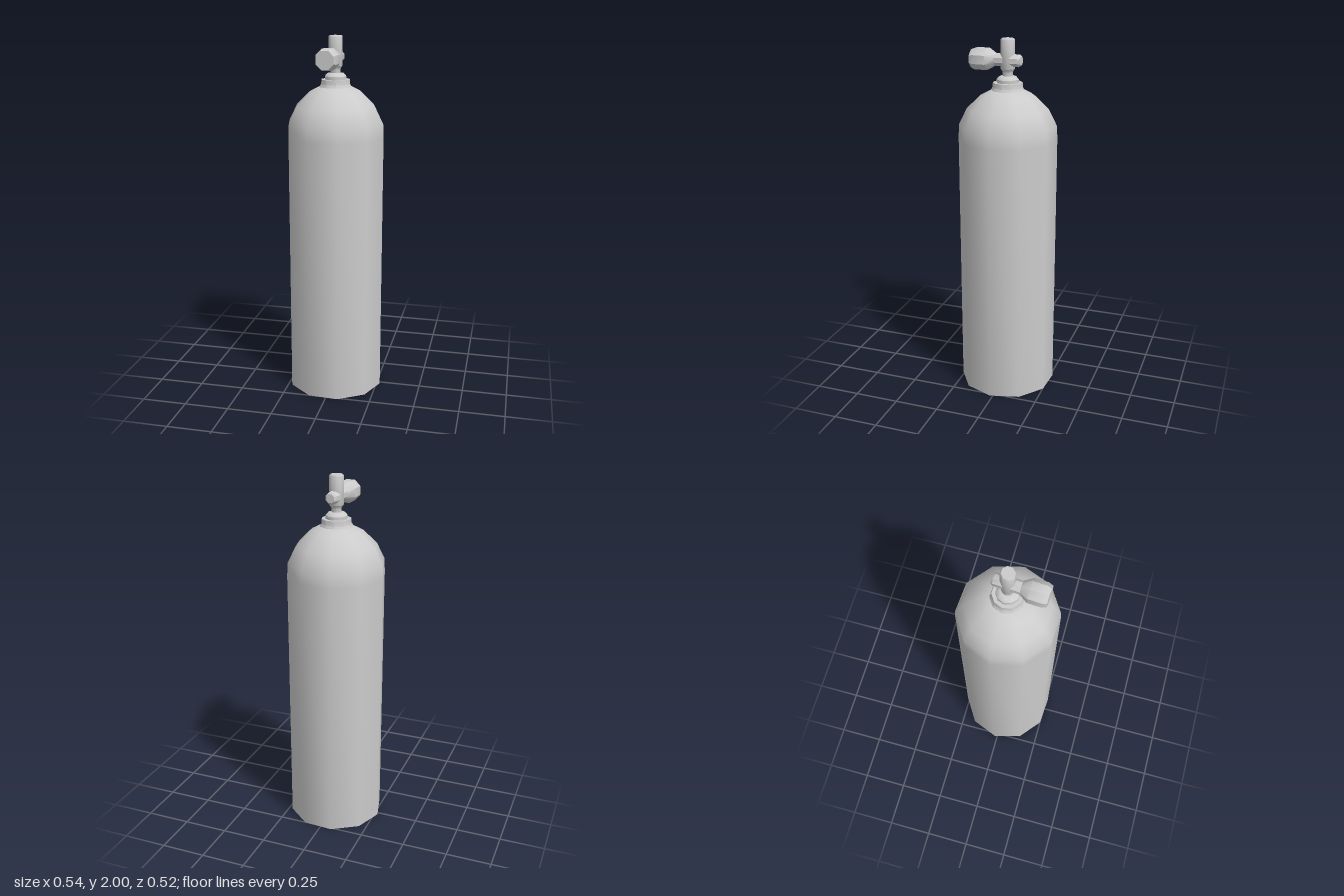
import * as THREE from 'three';
import { toCreasedNormals } from 'three/addons/utils/BufferGeometryUtils.js';

const material = new THREE.MeshStandardMaterial({ color: 0xcccccc });

// Low-poly turned part from [radius, height] pairs, listed bottom to top
function turned(name, profile, sides, start, crease = 0.85) {
  const points = profile.map(([r, y]) => new THREE.Vector2(r, y));
  const lathe = new THREE.LatheGeometry(points, sides, start);
  const mesh = new THREE.Mesh(toCreasedNormals(lathe, crease), material);
  mesh.name = name;
  return mesh;
}

export function createModel() {
  const model = new THREE.Group();
  model.name = 'gasCylinder';
  const twist = 0.251; // the ten-sided parts are turned slightly off axis

  // Tank with domed shoulder
  model.add(turned('tank', [
    [0, 0], [0.27, 0], [0.27, 1.46], [0.267, 1.535], [0.222, 1.625],
    [0.145, 1.70], [0.09, 1.728], [0, 1.735],
  ], 10, twist));

  // Collar on top of the shoulder
  model.add(turned('collar', [
    [0.092, 1.725], [0.082, 1.742], [0.08, 1.768], [0, 1.768],
  ], 10, twist, 0.7));

  // Rounded seat ring and thin neck under the valve
  model.add(turned('neck', [
    [0.06, 1.765], [0.06, 1.785], [0.046, 1.80], [0.028, 1.803],
    [0.028, 1.825], [0.038, 1.84],
  ], 10, twist, 0.7));

  // Valve: upright post crossed by an arm that carries the knob
  const valve = new THREE.Group();
  valve.name = 'valve';
  valve.position.y = 1.885;
  valve.rotation.y = -0.06;
  valve.add(turned('valvePost', [
    [0, -0.055], [0.03, -0.055], [0.038, -0.045], [0.038, 0.108], [0.033, 0.115], [0, 0.115],
  ], 8, Math.PI / 8));

  const arm = turned('valveArm', [
    [0, -0.078], [0.024, -0.078], [0.034, -0.066], [0.034, 0.075],
  ], 8, Math.PI / 8, 0.7);
  const knob = turned('valveKnob', [
    [0, 0.068], [0.034, 0.068], [0.061, 0.112], [0.061, 0.183], [0.052, 0.205], [0, 0.205],
  ], 8, Math.PI / 8, 0.7);
  for (const part of [arm, knob]) {
    part.rotation.x = Math.PI / 2;
    valve.add(part);
  }
  model.add(valve);

  return model;
}
